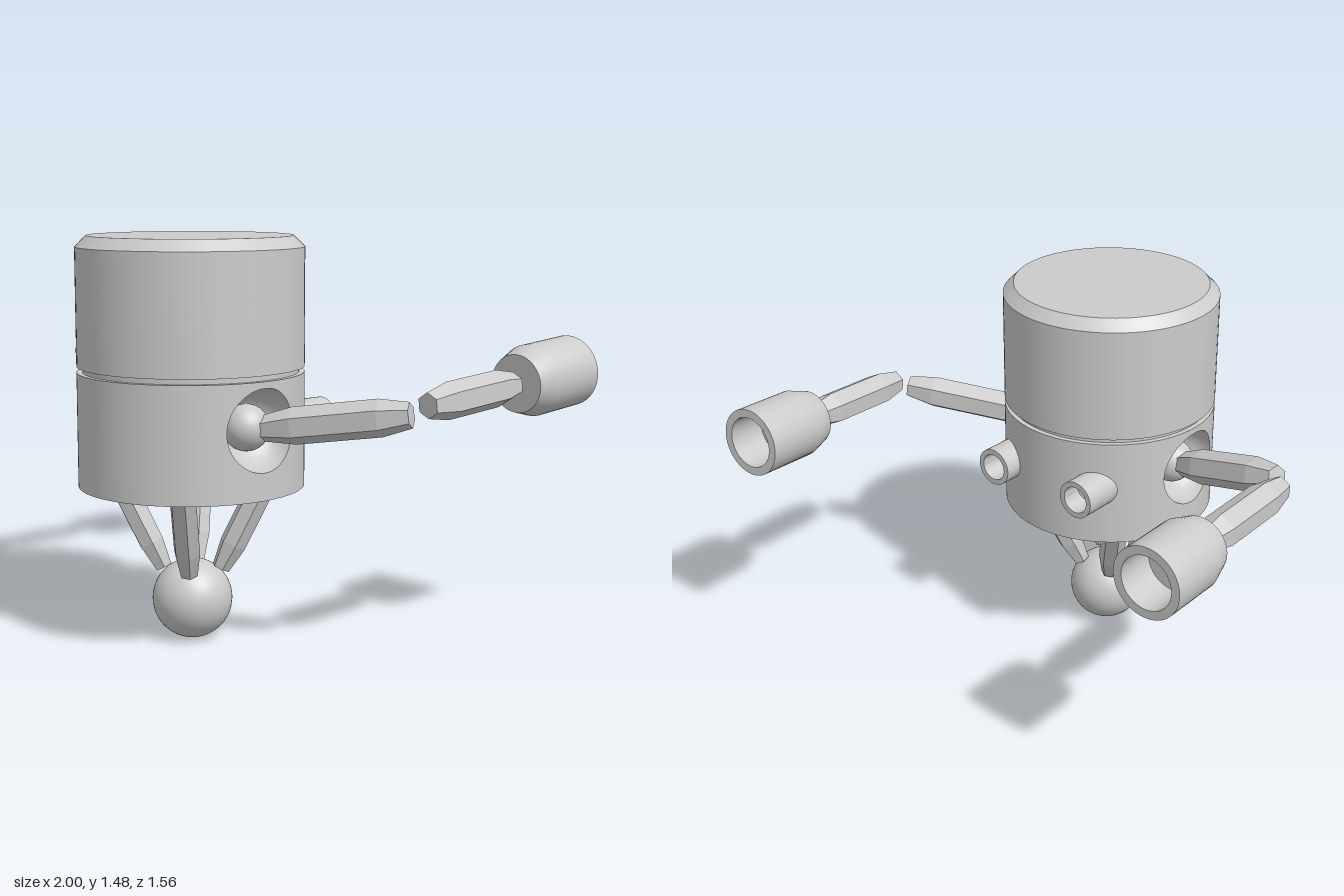
import * as THREE from 'three';
import { toCreasedNormals } from 'three/addons/utils/BufferGeometryUtils.js';
import { ParametricGeometry } from 'three/addons/geometries/ParametricGeometry.js';

const smooth = new THREE.MeshStandardMaterial({ color: 0xcccccc });
const flat = new THREE.MeshStandardMaterial({ color: 0xcccccc, flatShading: true });

const R = 0.41;            // body radius
const HOLE = 0.147;        // shoulder socket radius
const SOCKET_Y = 0.82;
const BOTTOM = 0.575, SEAM = 0.99;
const HALF = 0.25;         // half width of the wall patch around a socket

function add(parent, name, geometry, material = smooth) {
  const mesh = new THREE.Mesh(geometry, material);
  mesh.name = name;
  parent.add(mesh);
  return mesh;
}

function lathe(points, segments = 64) {
  const g = new THREE.LatheGeometry(points.map(([r, y]) => new THREE.Vector2(r, y)), segments);
  return toCreasedNormals(g, 0.5);
}

// Stand a part modelled along +y at "from", pointing towards "to"
function aim(mesh, from, to) {
  const a = new THREE.Vector3(...from);
  const dir = new THREE.Vector3(...to).sub(a).normalize();
  mesh.position.copy(a);
  mesh.quaternion.setFromUnitVectors(new THREE.Vector3(0, 1, 0), dir);
  return mesh;
}

// Six-sided bar with tapered ends
function bar(parent, name, from, to, r = 0.066, tip = 0.045) {
  const len = new THREE.Vector3(...from).distanceTo(new THREE.Vector3(...to));
  const profile = [[0, 0], [tip, 0], [r, len * 0.22], [r, len * 0.8], [tip, len], [0, len]];
  return aim(add(parent, name, lathe(profile, 6), flat), from, to);
}

// Hollow hand, open at the far end
function cup(parent, name, from, to) {
  const len = new THREE.Vector3(...from).distanceTo(new THREE.Vector3(...to));
  const profile = [[0, 0], [0.105, 0], [0.13, 0.08], [0.13, len], [0.098, len], [0.098, len - 0.15], [0, len - 0.15]];
  return aim(add(parent, name, lathe(profile, 48)), from, to);
}

// Wall around a socket: from the round hole out to a rectangle, bent onto the cylinder
function socketWall(u, v, target) {
  const c = Math.cos(u * Math.PI * 2), s = Math.sin(u * Math.PI * 2);
  const m = Math.max(Math.abs(c), Math.abs(s));
  const h = s > 0 ? SEAM - SOCKET_Y : SOCKET_Y - BOTTOM;
  const z = THREE.MathUtils.lerp(HOLE * c, HALF * c / m, v);
  const y = THREE.MathUtils.lerp(HOLE * s, h * s / m, v);
  target.set(Math.sqrt(R * R - z * z), SOCKET_Y + y, z);
}

// Rounded hollow of the socket
function socketBowl(u, v, target) {
  const a = u * Math.PI * 2, r = HOLE * Math.sin(v * Math.PI / 2);
  const z = r * Math.cos(a);
  target.set(Math.sqrt(R * R - z * z) - HOLE * Math.cos(v * Math.PI / 2), SOCKET_Y + r * Math.sin(a), z);
}

export function createModel() {
  const model = new THREE.Group();
  model.name = 'robot';

  const body = new THREE.Group();
  body.name = 'body';
  body.position.set(0.055, 0, 0.365);
  model.add(body);

  // Head with chamfered top, and the groove under it
  add(body, 'head', lathe([[0.39, SEAM], [0.39, 1.01], [R, 1.01], [R, 1.435], [0.37, 1.475], [0, 1.475]], 96));
  add(body, 'torsoFloor', lathe([[0, BOTTOM], [R, BOTTOM]], 96));
  add(body, 'torsoRim', lathe([[R, SEAM], [0.385, SEAM]], 96));

  // Torso: front and back walls, with a shoulder socket on each side
  const gap = Math.asin(HALF / R);
  for (const turn of [0, Math.PI]) {
    const half = new THREE.Group();
    half.name = 'torsoHalf';
    half.rotation.y = turn;
    body.add(half);
    const wall = new THREE.CylinderGeometry(R, R, SEAM - BOTTOM, 40, 1, true, -(Math.PI / 2 - gap), Math.PI - 2 * gap);
    add(half, 'torsoWall', wall.translate(0, (SEAM + BOTTOM) / 2, 0));
    const side = new ParametricGeometry(socketWall, 64, 8);
    const p = side.attributes.position;
    for (let i = 0; i < p.count; i++) side.attributes.normal.setXYZ(i, p.getX(i) / R, 0, p.getZ(i) / R);
    add(half, 'socketWall', side);
    const bowl = new ParametricGeometry(socketBowl, 64, 12);
    bowl.computeVertexNormals();
    add(half, 'socketBowl', bowl);
    add(half, 'shoulderBall', new THREE.SphereGeometry(0.083, 32, 20)).position.set(0.31, SOCKET_Y, 0);
  }

  // Ball foot and its four slanted struts
  add(body, 'ballFoot', new THREE.SphereGeometry(0.147, 48, 32)).position.y = 0.147;
  for (const sx of [-1, 1]) {
    for (const sz of [-1, 1]) {
      bar(body, 'legStrut', [sx * 0.075, 0.262, sz * 0.075], [sx * 0.22, 0.68, sz * 0.22], 0.05, 0.034);
    }
  }

  // Two short hollow pipes at the back
  for (const x of [-0.152, 0.254]) {
    const pipe = lathe([[0.073, 0], [0.073, 0.17], [0.052, 0.17], [0.052, 0.06], [0, 0.06]], 40);
    aim(add(model, 'backPipe', pipe), [x, 0.8, 0.075], [x, 0.8, -0.095]);
  }

  // Arms: shoulder, elbow end, forearm start, wrist, hand end
  const arms = {
    left: [[0.42, 0.82, 0.34], [0.88, 0.895, 0.08], [0.908, 0.925, 0.03], [0.878, 0.952, -0.44], [0.854, 0.973, -0.775]],
    right: [[-0.31, 0.825, 0.355], [-0.8, 0.98, 0.245], [-0.845, 0.975, 0.197], [-0.862, 0.975, -0.29], [-0.87, 0.975, -0.612]],
  };
  for (const [side, [shoulder, elbow, start, wrist, end]] of Object.entries(arms)) {
    const arm = new THREE.Group();
    arm.name = side + 'Arm';
    model.add(arm);
    bar(arm, 'upperArm', shoulder, elbow);
    bar(arm, 'forearm', start, wrist);
    cup(arm, 'hand', new THREE.Vector3(...wrist).lerp(new THREE.Vector3(...end), -0.0 + 0.05).toArray(), end);
  }
  return model;
}
